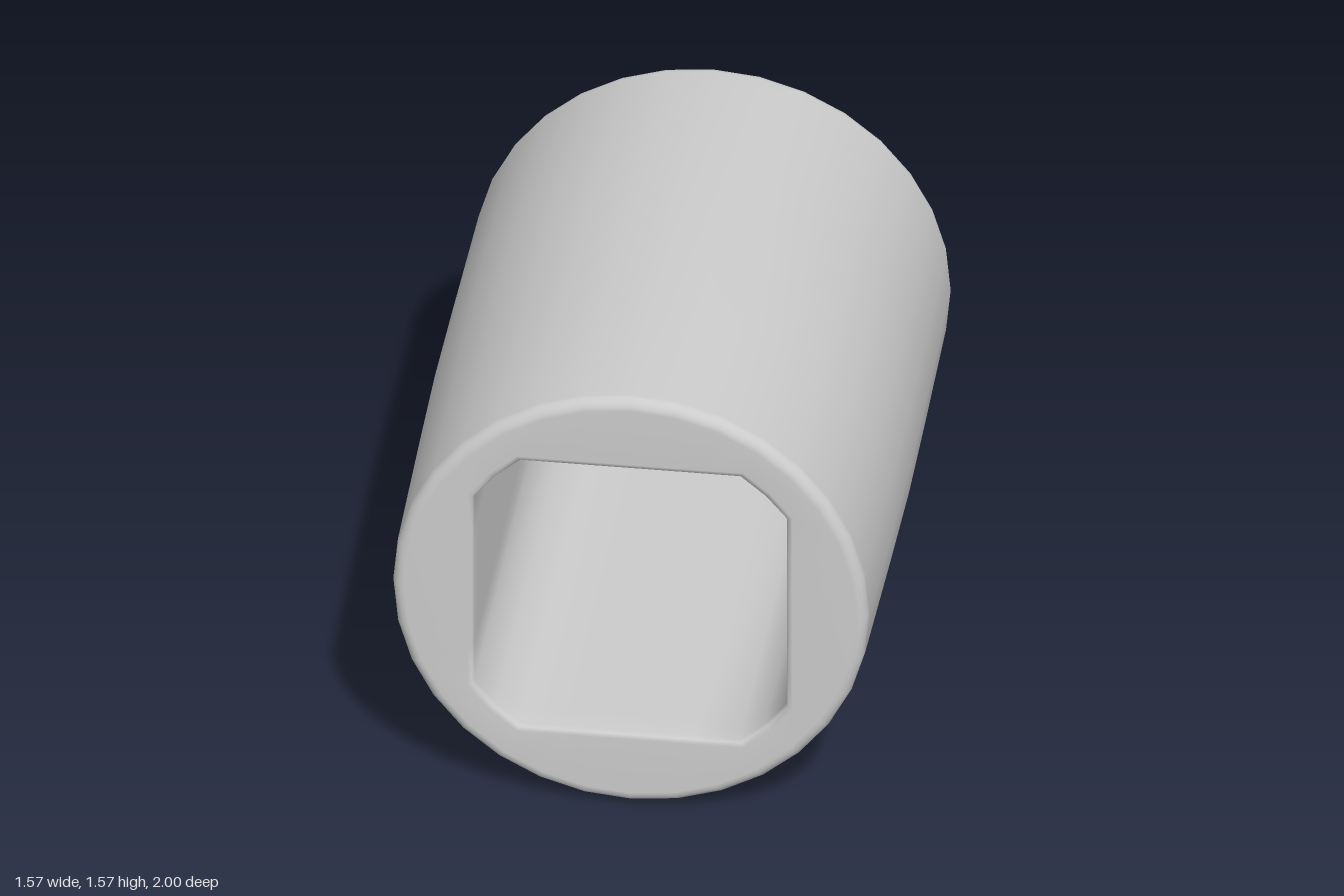
import * as THREE from 'three';

const SIDES = 32, CENTER_Y = 0.787;
const HALF = 0.508, CORNER = 0.62; // square bore, corners clipped by a circle

// Outline of the bore at angle step i, with steps next to the diagonals snapped to its corners
function borePoint(i) {
  const a = (i / SIDES) * Math.PI * 2;
  const step = i % 8;
  if (step === 4) return [CORNER * Math.cos(a), CORNER * Math.sin(a)];
  const side = Math.round(a / (Math.PI / 2)) * Math.PI / 2;
  let t = HALF * Math.tan(a - side);
  if (step === 3 || step === 5) t = Math.sign(t) * Math.sqrt(CORNER ** 2 - HALF ** 2);
  return [HALF * Math.cos(side) - t * Math.sin(side), HALF * Math.sin(side) + t * Math.cos(side)];
}

function circlePoint(i, r) {
  const a = (i / SIDES) * Math.PI * 2;
  return [r * Math.cos(a), r * Math.sin(a)];
}

// Quarter-round edge in the [radius, z] plane
function roundedEdge(r, z, radius, from, steps) {
  return Array.from({ length: steps + 1 }, (_, k) => {
    const a = from + (k / steps) * Math.PI / 2;
    return [r + radius * Math.cos(a), z + radius * Math.sin(a)];
  });
}

function sleeveGeometry() {
  const rows = [];
  const outer = (r, z) => rows.push({ z, at: i => circlePoint(i, r) });
  const inner = (s, z) => rows.push({ z, at: i => borePoint(i).map(v => v * s) });

  // Slightly barrelled outside with rounded rims
  roundedEdge(0.735, -0.96, 0.04, -Math.PI / 2, 4).forEach(p => outer(...p));
  outer(0.783, -0.4);
  outer(0.787, 0);
  outer(0.783, 0.4);
  roundedEdge(0.735, 0.96, 0.04, 0, 4).forEach(p => outer(...p));
  // Softened bore edges and straight bore walls
  roundedEdge(1.045, 0.98, 0.02, Math.PI / 2, 2).forEach(([r, z]) => inner(1 + (r - 1.025) * 2, z));
  inner(1, 0.9);
  inner(1, -0.9);
  roundedEdge(1.045, -0.98, 0.02, Math.PI, 2).forEach(([r, z]) => inner(1 + (r - 1.025) * 2, z));

  const positions = [], index = [];
  rows.forEach(row => {
    for (let i = 0; i < SIDES; i++) positions.push(...row.at(i), row.z);
  });
  for (let r = 0; r < rows.length; r++) {
    const next = (r + 1) % rows.length;
    for (let i = 0; i < SIDES; i++) {
      const j = (i + 1) % SIDES;
      const a = r * SIDES + i, b = r * SIDES + j, c = next * SIDES + j, d = next * SIDES + i;
      index.push(a, b, c, a, c, d);
    }
  }
  const geometry = new THREE.BufferGeometry();
  geometry.setAttribute('position', new THREE.Float32BufferAttribute(positions, 3));
  geometry.setIndex(index);
  geometry.computeVertexNormals();
  return geometry;
}

export function createModel() {
  const group = new THREE.Group();
  group.name = 'sleeve';
  const body = new THREE.Mesh(sleeveGeometry(), new THREE.MeshStandardMaterial({ color: 0xcccccc }));
  body.name = 'sleeveBody';
  body.position.y = CENTER_Y;
  group.add(body);
  return group;
}
